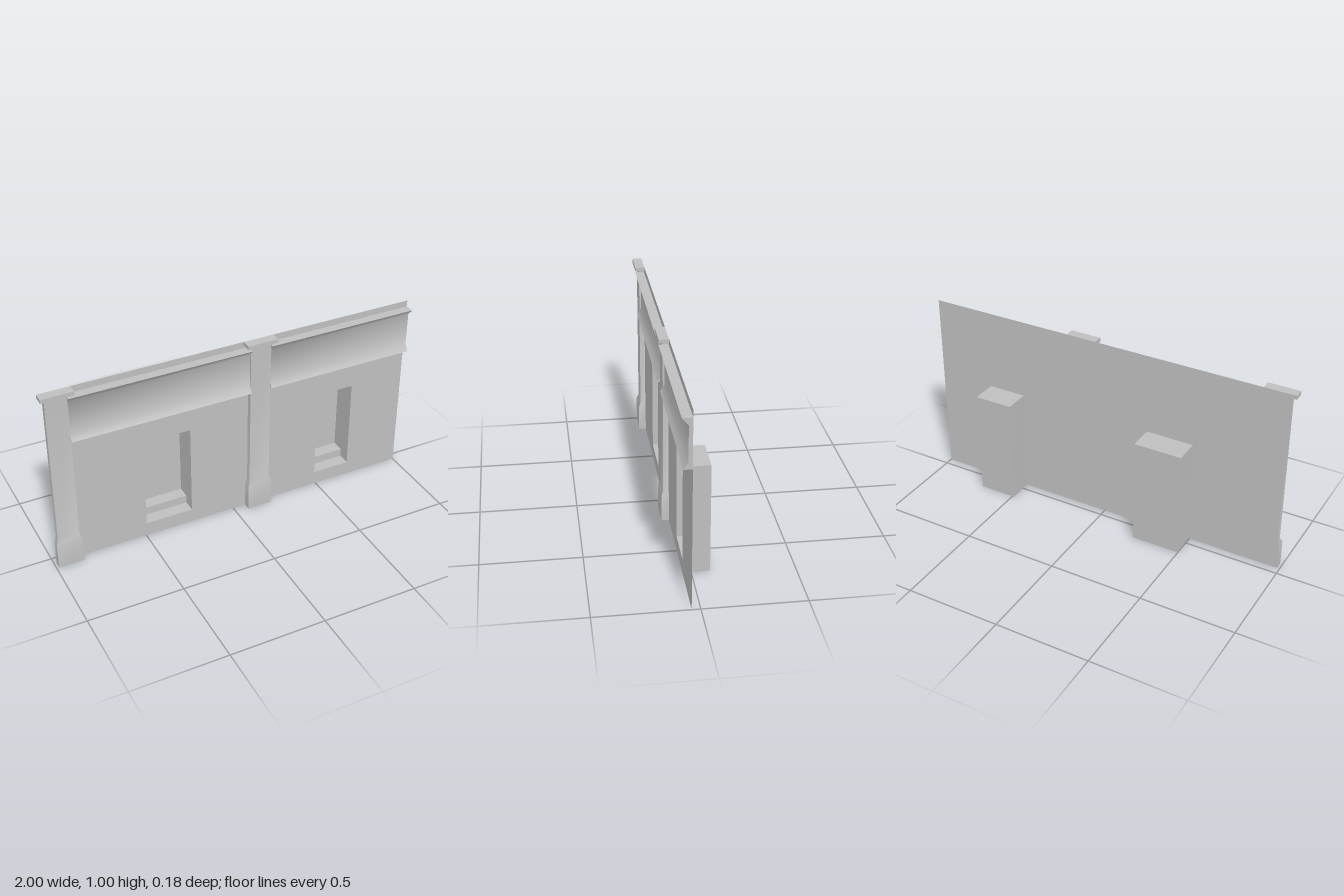
import * as THREE from 'three';
import { toCreasedNormals } from 'three/addons/utils/BufferGeometryUtils.js';

const BACK = 0.042; // plane of the wall sheet

export function createModel() {
  const model = new THREE.Group();
  model.name = 'wallSection';
  const stone = new THREE.MeshStandardMaterial({ color: 0xbfbfbf });
  stone.name = 'grey stone';
  stone.side = THREE.DoubleSide;

  const add = (name, geometry, x, y, z, parent = model) => {
    const mesh = new THREE.Mesh(geometry, stone);
    mesh.name = name;
    mesh.position.set(x, y, z);
    parent.add(mesh);
    return mesh;
  };

  const niches = [
    { x0: -0.495, x1: -0.24, top: 0.573 },
    { x0: 0.49, x1: 0.695, top: 0.568 },
  ];
  const sill = 0.075, tread = 0.12, nicheBack = -0.091, riserZ = -0.025;

  // Wall sheet with a hole for each niche
  const rect = (S, x0, y0, x1, y1) => {
    const s = new S();
    s.moveTo(x0, y0); s.lineTo(x1, y0); s.lineTo(x1, y1); s.lineTo(x0, y1); s.closePath();
    return s;
  };
  const wall = rect(THREE.Shape, -0.975, 0, 1, 1);
  niches.forEach(n => wall.holes.push(rect(THREE.Path, n.x0, sill, n.x1, n.top)));
  add('wall', new THREE.ShapeGeometry(wall), 0, 0, BACK);

  // Niches: a shell open at the front and underneath, with two steps inside
  for (const { x0, x1, top } of niches) {
    const niche = new THREE.Group();
    niche.name = 'niche';
    model.add(niche);
    const w = x1 - x0, cx = (x0 + x1) / 2, depth = BACK - nicheBack, midZ = (BACK + nicheBack) / 2;
    const flat = (name, y, za, zb) => {
      const m = add(name, new THREE.PlaneGeometry(w, Math.abs(zb - za)), cx, y, (za + zb) / 2, niche);
      m.rotation.x = -Math.PI / 2;
      return m;
    };
    const back = add('nicheBack', new THREE.PlaneGeometry(w, top), cx, top / 2, nicheBack, niche);
    back.rotation.y = Math.PI;
    flat('nicheTop', top, BACK, nicheBack);
    for (const side of [-1, 1]) {
      const m = add('nicheSide', new THREE.PlaneGeometry(depth, top), cx + side * w / 2, top / 2, midZ, niche);
      m.rotation.y = side * Math.PI / 2;
    }
    flat('lowerTread', sill, BACK, riserZ);
    add('riser', new THREE.PlaneGeometry(w, tread - sill), cx, (sill + tread) / 2, riserZ, niche);
    flat('upperTread', tread, riserZ, nicheBack);
  }

  // Pilasters: a box whose rows flare out to a wider foot, topped by a cap slab
  const rows = [ // y, half width, front z
    [0, 0.067, 0.081], [0.14, 0.067, 0.081], [0.167, 0.056, 0.07], [0.98, 0.056, 0.07],
  ];
  for (const x of [-0.92, 0.137]) {
    const g = new THREE.BoxGeometry(2, 3, 2, 1, 3, 1);
    const p = g.attributes.position;
    for (let i = 0; i < p.count; i++) {
      const [y, half, front] = rows[Math.round(p.getY(i) + 1.5)];
      p.setXYZ(i, p.getX(i) * half, y, p.getZ(i) > 0 ? front : BACK);
    }
    add('pilaster', toCreasedNormals(g, 0.8), x, 0, 0);
    add('pilasterCap', new THREE.BoxGeometry(0.164, 0.02, 0.051), x < 0 ? -0.918 : 0.137, 0.99, BACK + 0.0255);
  }

  // Hollow cornice bands, smooth inside the curve and sharp at the lips
  const profile = [[BACK, 0.72], [0.084, 0.72], [0.061, 0.755], [0.061, 0.93], [0.091, 0.965], [BACK, 0.965]];
  for (const [x0, x1] of [[-0.866, 0.081], [0.191, 1]]) {
    const shape = new THREE.Shape(profile.map(([z, y]) => new THREE.Vector2(-z, y)));
    const g = new THREE.ExtrudeGeometry(shape, { depth: x1 - x0, bevelEnabled: false });
    g.rotateY(Math.PI / 2); // shape runs along x, with its hollow facing +z
    add('cornice', toCreasedNormals(g, 0.8), x0, 0, 0);
  }
  return model;
}
